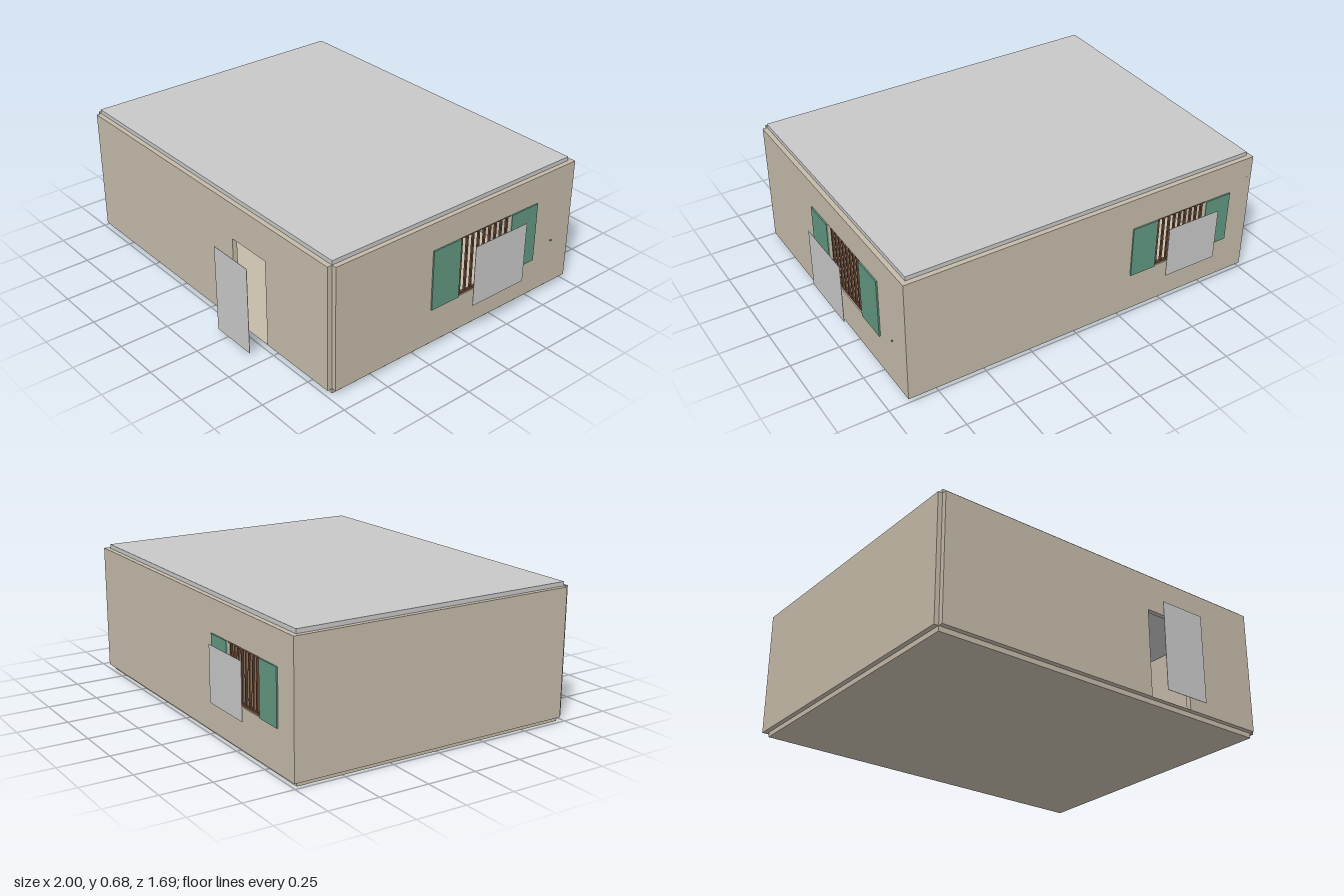
import * as THREE from 'three';

const mat = (name, color, side = THREE.FrontSide) => {
  const m = new THREE.MeshStandardMaterial({ side });
  m.color.set(color);
  m.name = name;
  return m;
};

export function createModel() {
  const tan = mat('tan plaster', 0xc4baa9);
  const grey = mat('light grey', 0xc8c8c8);
  const green = mat('shutter green', 0x629780);
  const brown = mat('brown wood', 0x6b4a36);

  const house = new THREE.Group();
  house.name = 'house';

  // Box given by its low and high corners
  const box = (parent, name, material, [x0, y0, z0], [x1, y1, z1]) => {
    const g = new THREE.BoxGeometry(x1 - x0, y1 - y0, z1 - z0);
    const m = new THREE.Mesh(g, material);
    m.position.set((x0 + x1) / 2, (y0 + y1) / 2, (z0 + z1) / 2);
    m.name = name;
    parent.add(m);
    return m;
  };

  const T = 0.025;                 // wall thickness
  const Y0 = 0.025, Y1 = 0.662;    // wall foot and top

  // Wall from u0 to u1 with an optional opening; its outer face is at local z = out
  const wall = (name, angle, out, u0, u1, hole) => {
    const s = new THREE.Shape([[u0, Y0], [u1, Y0], [u1, Y1], [u0, Y1]].map(p => new THREE.Vector2(...p)));
    if (hole) {
      const [a, b, c, d] = hole;
      s.holes.push(new THREE.Path([[a, c], [a, d], [b, d], [b, c]].map(p => new THREE.Vector2(...p))));
    }
    const g = new THREE.ExtrudeGeometry(s, { depth: T, bevelEnabled: false });
    g.translate(0, 0, out - T);
    const m = new THREE.Mesh(g, tan);
    m.rotation.y = angle;
    m.name = name;
    house.add(m);
  };

  // Floor slab and roof slab
  box(house, 'floor', tan, [-0.977, 0, -0.728], [0.879, Y0, 0.718]);
  box(house, 'roof', grey, [-0.977, Y1 - 0.003, -0.728], [0.879, 0.683, 0.718]);

  // Walls; the front one sits between the side walls' notched corners
  const door = [0.198, 0.445, Y0 + 0.0005, 0.477];
  const sideWindow = [0.006, 0.332, 0.209, 0.521];
  const backWindow = [0.438, 0.727, 0.229, 0.499];
  wall('frontWall', 0, 0.743, -0.977, 0.879, door);
  wall('rightWall', Math.PI / 2, 0.903, -0.718, 0.753, sideWindow);
  wall('backWall', Math.PI, 0.753, -0.879, 0.977, backWindow);
  wall('leftWall', -Math.PI / 2, 1.0, -0.753, 0.718);

  // Door panel standing off from the doorway
  box(house, 'doorPanel', grey, [door[0], Y0, 0.842], [door[1], door[3], 0.844]);

  // Window: barred opening, open shutters and a detached pane
  const windowUnit = (name, angle, out, [a, b, c, d], left, right, pane) => {
    const g = new THREE.Group();
    g.name = name;
    g.rotation.y = angle;
    box(g, 'shutterLeft', green, [left, c, out], [a, d, out + 0.007]);
    box(g, 'shutterRight', green, [b, c, out], [right, d, out + 0.007]);
    box(g, 'pane', grey, [a, c, pane - 0.002], [b, d, pane]);
    const zi = out - 0.018, zo = out - 0.008, n = 9;
    for (let i = 0; i < n; i++) {
      const u = a + (b - a) * (i + 0.5) / n;
      box(g, 'bar', brown, [u - 0.005, c, zi], [u + 0.005, d, zo]);
    }
    box(g, 'topRail', brown, [a, d - 0.01, zi - 0.002], [b, d, zo + 0.002]);
    box(g, 'bottomRail', brown, [a, c, zi - 0.002], [b, c + 0.01, zo + 0.002]);
    house.add(g);
  };
  windowUnit('sideWindow', Math.PI / 2, 0.903, sideWindow, -0.162, 0.504, 1.0);
  windowUnit('backWindow', Math.PI, 0.753, backWindow, 0.297, 0.872, 0.844);

  // Small button on the right wall
  box(house, 'wallButton', green, [0.903, 0.269, -0.629], [0.909, 0.275, -0.623]);

  // Table and chairs inside the room
  const legs = (g, w, h, r) => {
    for (const sx of [-1, 1]) for (const sz of [-1, 1])
      box(g, 'leg', brown, [sx * w - r, 0, sz * w - r], [sx * w + r, h, sz * w + r]);
  };
  const table = new THREE.Group();
  table.name = 'table';
  table.position.set(0.05, Y0, 0.15);
  legs(table, 0.11, 0.16, 0.008);
  box(table, 'tableTop', brown, [-0.13, 0.16, -0.13], [0.13, 0.175, 0.13]);
  for (let i = 0; i < 4; i++) {
    const pivot = new THREE.Group();
    pivot.name = 'chair';
    pivot.rotation.y = i * Math.PI / 2;
    const chair = new THREE.Group();
    chair.name = 'chairFrame';
    chair.position.z = 0.2;
    legs(chair, 0.04, 0.1, 0.005);
    box(chair, 'seat', brown, [-0.048, 0.1, -0.048], [0.048, 0.11, 0.048]);
    box(chair, 'backrest', brown, [-0.048, 0.11, 0.038], [0.048, 0.22, 0.048]);
    pivot.add(chair);
    table.add(pivot);
  }
  house.add(table);

  return house;
}
